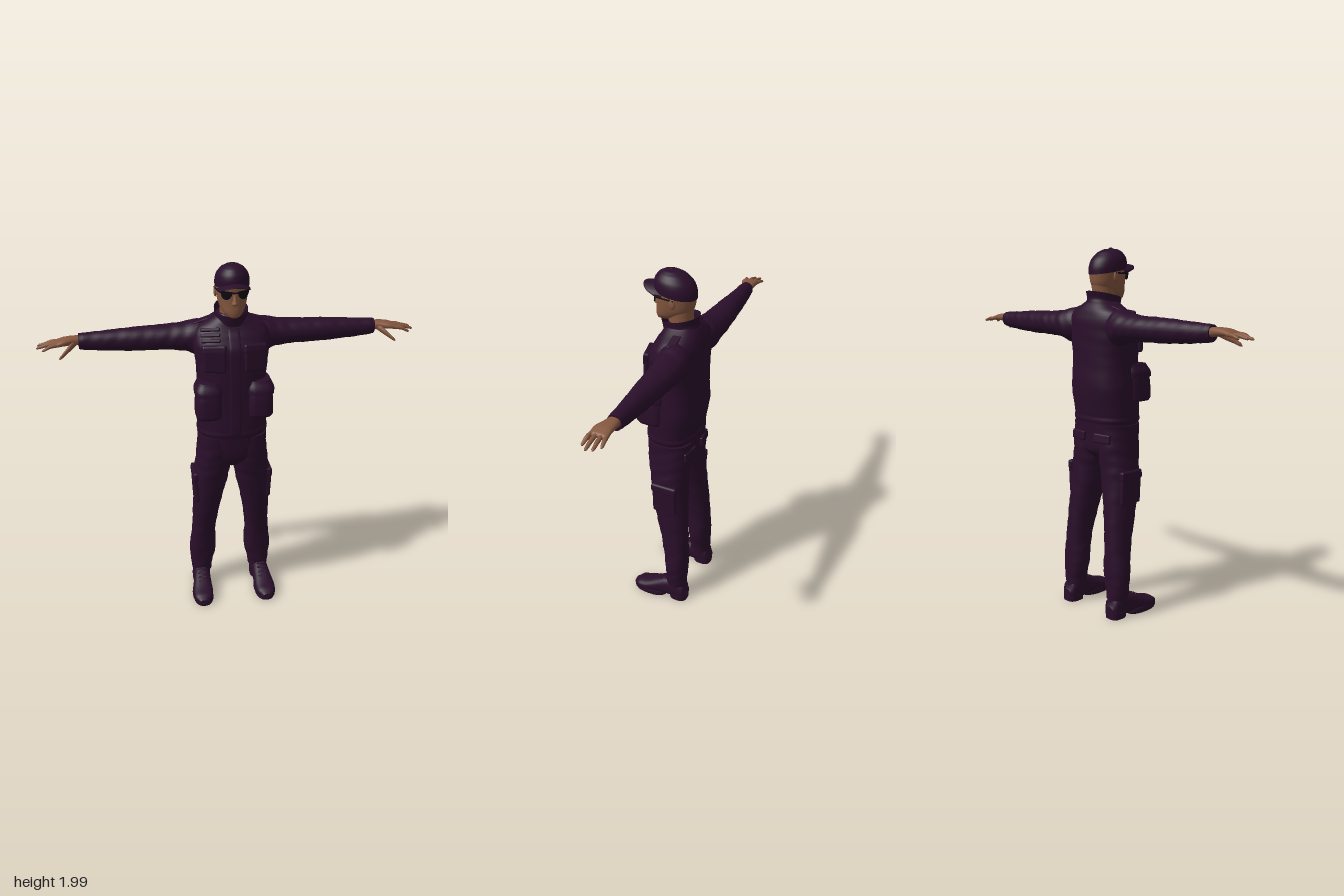
import * as THREE from 'three';
import { RoundedBoxGeometry } from 'three/addons/geometries/RoundedBoxGeometry.js';

const mat = (name, color, extra = {}) => Object.assign(new THREE.MeshStandardMaterial({ color, ...extra }), { name });

// Catmull-Rom value between p1 and p2
const spline = (p0, p1, p2, p3, t) =>
  0.5 * (2 * p1 + (p2 - p0) * t + (2 * p0 - 5 * p1 + 4 * p2 - p3) * t * t + (3 * p1 - p0 - 3 * p2 + p3) * t ** 3);

// Smooth skin over superellipse sections [t, u, v, ru, rv] along one axis.
// axis y: u = x, v = z; axis x: u = z, v = y; axis z: u = y, v = x
function loft(axis, rows, { n = 28, steps = 5, power = 2, fold = 0, capped = true } = {}) {
  const sections = [];
  for (let i = 0; i < rows.length - 1; i++) {
    const q = [rows[Math.max(0, i - 1)], rows[i], rows[i + 1], rows[Math.min(rows.length - 1, i + 2)]];
    const last = i === rows.length - 2 ? 1 : 0;
    for (let s = 0; s < steps + last; s++) {
      const k = s / steps;
      sections.push(rows[i].map((_, c) => (c ? spline(q[0][c], q[1][c], q[2][c], q[3][c], k) : q[1][0] + (q[2][0] - q[1][0]) * k)));
    }
  }
  const pos = [], idx = [];
  const put = (t, u, v) => pos.push(...(axis === 'y' ? [u, t, v] : axis === 'x' ? [t, v, u] : [v, u, t]));
  const pw = (c) => Math.sign(c) * Math.abs(c) ** (2 / power);
  for (const [t, u, v, ru, rv] of sections) {
    for (let j = 0; j < n; j++) {
      const a = (j / n) * Math.PI * 2;
      const r = 1 + fold * Math.sin(t * 70 + 2 * Math.sin(a * 2)) * Math.sin(t * 23 + a);
      put(t, u + ru * r * pw(Math.cos(a)), v + rv * r * pw(Math.sin(a)));
    }
  }
  const m = sections.length;
  for (let i = 0; i < m - 1; i++) {
    for (let j = 0; j < n; j++) {
      const a = i * n + j, b = i * n + (j + 1) % n;
      idx.push(a, a + n, b, b, a + n, b + n);
    }
  }
  if (capped) {
    // End caps use their own rim so the edge stays crisp
    for (const [i, flip] of [[0, false], [m - 1, true]]) {
      const base = pos.length / 3;
      pos.push(...pos.slice(i * n * 3, (i + 1) * n * 3));
      put(sections[i][0], sections[i][1], sections[i][2]);
      for (let j = 0; j < n; j++) {
        const a = base + j, b = base + (j + 1) % n;
        idx.push(base + n, ...(flip ? [b, a] : [a, b]));
      }
    }
  }
  const g = new THREE.BufferGeometry();
  g.setAttribute('position', new THREE.Float32BufferAttribute(pos, 3));
  g.setIndex(idx);
  g.computeVertexNormals();
  return g;
}

function box(w, h, d, [x, y, z], [rx, ry, rz] = [0, 0, 0], r = 0.008) {
  const g = new RoundedBoxGeometry(w, h, d, 2, Math.min(r, w / 2.1, h / 2.1, d / 2.1));
  return g.applyMatrix4(new THREE.Matrix4().makeRotationFromEuler(new THREE.Euler(rx, ry, rz)).setPosition(x, y, z));
}
const ball = (x, y, z, sx, sy, sz) => new THREE.SphereGeometry(1, 20, 14).scale(sx, sy, sz).translate(x, y, z);

// Copy on the other side of x = 0, with corners reordered
function mirror(geo) {
  const g = geo.clone().scale(-1, 1, 1);
  const src = g.index ? Array.from(g.index.array) : Array.from({ length: g.attributes.position.count }, (_, i) => i);
  for (let i = 0; i < src.length; i += 3) [src[i + 1], src[i + 2]] = [src[i + 2], src[i + 1]];
  g.setIndex(src);
  g.computeVertexNormals();
  return g;
}

export function createModel() {
  const cloth = mat('dark plum cloth', 0x2a0f2a);
  const clothOpen = mat('dark plum collar', 0x2a0f2a, { side: THREE.DoubleSide });
  const skin = mat('skin', 0x85573f);
  const lipTone = mat('lips', 0x643c30);
  const black = mat('black glass', 0x0d0810);
  const model = new THREE.Group();
  model.name = 'uniformedMan';
  const add = (name, geo, material = cloth) => {
    const mesh = new THREE.Mesh(geo, material);
    mesh.name = name;
    model.add(mesh);
  };
  const pair = (name, geo, material) => {
    add(name + 'Left', geo, material);
    add(name + 'Right', mirror(geo), material);
  };

  // Jacket body, hem, front placket
  const torso = [
    [1.06, 0, -0.008, 0.178, 0.128], [1.1, 0, -0.008, 0.188, 0.138], [1.25, 0, -0.022, 0.192, 0.148],
    [1.38, 0, -0.02, 0.185, 0.146], [1.48, 0, -0.022, 0.192, 0.144], [1.56, 0, -0.025, 0.202, 0.14],
    [1.62, 0, -0.04, 0.2, 0.123], [1.66, 0, -0.047, 0.172, 0.104], [1.695, 0, -0.045, 0.11, 0.088], [1.725, 0, -0.04, 0.07, 0.07],
  ];
  add('jacket', loft('y', torso, { n: 48, power: 2.4, fold: 0.008 }));
  add('jacketHem', loft('y', [[1.07, 0, -0.008, 0.186, 0.138], [1.085, 0, -0.008, 0.192, 0.142], [1.105, 0, -0.008, 0.19, 0.14]], { n: 48, power: 2.4 }));
  add('frontPlacket', loft('y', torso.slice(0, 8).map(([y, , cz, , rz]) => [y, 0, cz + rz - 0.003, 0.03, 0.01]), { power: 4 }));

  // Collar: flared band that stands higher at the nape
  const collar = loft('y', [[1.685, 0, -0.035, 0.092, 0.092], [1.71, 0, -0.03, 0.086, 0.092], [1.745, 0, -0.03, 0.088, 0.1]], { n: 40, capped: false });
  const cp = collar.attributes.position;
  for (let i = 0; i < cp.count; i++) cp.setY(i, cp.getY(i) - 0.22 * (cp.getZ(i) + 0.03));
  collar.computeVertexNormals();
  add('collar', collar, clothOpen);

  // Jacket pockets with flaps
  pair('hipPocket', loft('y', [[1.185, 0.135, 0.065, 0.066, 0.074], [1.2, 0.136, 0.068, 0.071, 0.081], [1.29, 0.135, 0.066, 0.07, 0.08], [1.36, 0.132, 0.06, 0.062, 0.072]], { power: 3.2 }));
  pair('hipPocketFlap', loft('y', [[1.315, 0.136, 0.066, 0.073, 0.084], [1.345, 0.136, 0.063, 0.075, 0.081], [1.385, 0.132, 0.052, 0.06, 0.07]], { power: 3.2 }));
  pair('chestPocket', box(0.118, 0.125, 0.03, [0.105, 1.505, 0.104], [0, 0.22, 0], 0.012));
  pair('chestPocketFlap', box(0.126, 0.045, 0.034, [0.105, 1.565, 0.1], [-0.2, 0.22, 0], 0.012));
  for (let i = 0; i < 3; i++) {
    add('chestTab' + (i + 1), box(0.1, 0.018, 0.02, [-0.12, 1.605 + i * 0.025, 0.076 - i * 0.015], [-0.55, -0.25, -0.08], 0.005));
  }
  pair('shoulderStrap', box(0.09, 0.012, 0.045, [0.15, 1.675, -0.06], [0, 0, -0.3], 0.005));

  // Sleeves
  pair('sleeve', loft('x', [
    [0.08, -0.055, 1.585, 0.07, 0.07], [0.17, -0.072, 1.58, 0.088, 0.095], [0.24, -0.083, 1.584, 0.082, 0.076],
    [0.34, -0.086, 1.584, 0.076, 0.066], [0.5, -0.084, 1.583, 0.063, 0.062], [0.65, -0.083, 1.583, 0.05, 0.053],
    [0.76, -0.08, 1.585, 0.041, 0.045], [0.785, -0.08, 1.587, 0.038, 0.041],
  ], { fold: 0.025, steps: 8 }));

  // Hands: palm, four fingers, thumb
  pair('palm', loft('x', [
    [0.76, -0.08, 1.59, 0.029, 0.025], [0.81, -0.077, 1.595, 0.035, 0.022], [0.86, -0.067, 1.594, 0.045, 0.019],
    [0.9, -0.066, 1.588, 0.045, 0.013], [0.912, -0.066, 1.586, 0.035, 0.006],
  ], { power: 2.4 }), skin);
  const fingers = [[-0.102, -0.113, 0.962, 1.573], [-0.08, -0.088, 0.995, 1.572], [-0.054, -0.056, 1.0, 1.569], [-0.03, -0.022, 0.97, 1.565]];
  fingers.forEach(([z0, z1, tip, y1], i) => {
    const mid = (0.885 + tip) / 2;
    pair('finger' + (i + 1), loft('x', [
      [0.88, z0, 1.588, 0.01, 0.01], [mid, (z0 + z1) / 2, 1.584, 0.0105, 0.01],
      [tip - 0.008, z1, y1 + 0.002, 0.0075, 0.007], [tip, z1, y1, 0.002, 0.002],
    ], { n: 12 }), skin);
  });
  pair('thumb', loft('x', [
    [0.795, -0.06, 1.587, 0.012, 0.014], [0.825, -0.035, 1.573, 0.017, 0.017], [0.855, -0.008, 1.552, 0.012, 0.013],
    [0.878, 0.008, 1.535, 0.009, 0.009], [0.886, 0.011, 1.53, 0.002, 0.003],
  ], { n: 14 }), skin);

  // Trousers
  add('trouserSeat', loft('y', [[0.865, 0, -0.015, 0.06, 0.07], [0.91, 0, -0.015, 0.15, 0.112], [0.98, 0, -0.01, 0.183, 0.122], [1.08, 0, -0.008, 0.18, 0.124]], { n: 40, power: 2.3 }));
  pair('trouserLeg', loft('y', [
    [0.105, 0.17, -0.09, 0.058, 0.058], [0.15, 0.17, -0.09, 0.063, 0.06], [0.25, 0.163, -0.088, 0.077, 0.064],
    [0.4, 0.156, -0.075, 0.068, 0.074], [0.6, 0.139, -0.045, 0.079, 0.092], [0.8, 0.115, -0.022, 0.098, 0.103],
    [0.92, 0.098, -0.014, 0.099, 0.116], [1.06, 0.092, -0.01, 0.095, 0.12],
  ], { n: 36, steps: 8, power: 2.2, fold: 0.025 }));
  add('belt', loft('y', [[1.02, 0, -0.01, 0.186, 0.127], [1.06, 0, -0.01, 0.185, 0.129]], { n: 40, power: 2.3, steps: 1 }));
  pair('cargoPocket', box(0.03, 0.17, 0.14, [0.204, 0.72, -0.03], [0, 0, -0.05], 0.012));
  pair('cargoPocketFlap', box(0.034, 0.05, 0.15, [0.206, 0.795, -0.028], [0, 0, 0.05], 0.012));
  pair('backPocketFlap', box(0.11, 0.05, 0.02, [0.09, 0.99, -0.13], [0.1, -0.15, 0]));

  // Boots: foot, shaft, laces, sole, heel
  pair('boot', loft('z', [
    [-0.158, 0.045, 0.175, 0.025, 0.03], [-0.14, 0.06, 0.175, 0.052, 0.046], [-0.08, 0.07, 0.175, 0.066, 0.051],
    [-0.03, 0.067, 0.178, 0.062, 0.05], [0.03, 0.054, 0.182, 0.048, 0.054], [0.09, 0.042, 0.185, 0.034, 0.058],
    [0.14, 0.036, 0.187, 0.026, 0.05], [0.17, 0.03, 0.188, 0.012, 0.025],
  ], { power: 2.4 }));
  pair('bootShaft', loft('y', [[0.05, 0.174, -0.09, 0.05, 0.062], [0.12, 0.171, -0.09, 0.053, 0.056], [0.19, 0.168, -0.09, 0.053, 0.05]]));
  for (let i = 0; i < 4; i++) {
    pair('lace' + (i + 1), box(0.05, 0.008, 0.012, [0.18, 0.128 - i * 0.013, -0.028 + i * 0.026], [0.45, 0, 0], 0.003));
  }
  pair('sole', loft('y', [[0, 0.185, 0.068, 0.056, 0.1], [0.012, 0.185, 0.068, 0.06, 0.106], [0.03, 0.185, 0.068, 0.058, 0.102]], { power: 2.4, steps: 2 }));
  pair('heel', loft('y', [[0, 0.176, -0.108, 0.047, 0.052], [0.04, 0.176, -0.108, 0.05, 0.053]], { power: 2.8, steps: 1 }));

  // Head, neck and face
  add('neck', loft('y', [[1.64, 0, -0.04, 0.066, 0.066], [1.73, 0, -0.03, 0.06, 0.064], [1.82, 0, -0.03, 0.062, 0.07]]), skin);
  add('head', loft('y', [
    [1.722, 0, 0.066, 0.018, 0.02], [1.73, 0, 0.057, 0.035, 0.04], [1.755, 0, 0.026, 0.058, 0.075], [1.79, 0, 0.002, 0.072, 0.097],
    [1.84, 0, -0.004, 0.081, 0.103], [1.89, 0, -0.004, 0.082, 0.104], [1.94, 0, 0, 0.062, 0.08],
  ], { n: 36, power: 2.15 }), skin);
  add('nose', loft('y', [[1.792, 0, 0.098, 0.012, 0.01], [1.8, 0, 0.1, 0.018, 0.02], [1.815, 0, 0.1, 0.012, 0.016], [1.85, 0, 0.094, 0.008, 0.01]], { n: 16 }), skin);
  add('upperLip', ball(0, 1.775, 0.088, 0.025, 0.005, 0.012), lipTone);
  add('lowerLip', ball(0, 1.767, 0.085, 0.022, 0.005, 0.012), lipTone);
  pair('ear', ball(0.083, 1.838, -0.018, 0.009, 0.028, 0.018).rotateZ(0), skin);

  // Sunglasses
  const lens = new THREE.Shape();
  lens.moveTo(-0.027, 0.018);
  lens.lineTo(0.03, 0.02);
  lens.quadraticCurveTo(0.034, -0.012, 0.012, -0.022);
  lens.quadraticCurveTo(-0.024, -0.026, -0.027, 0.018);
  const lensGeo = new THREE.ExtrudeGeometry(lens, { depth: 0.006, bevelEnabled: false, curveSegments: 8 });
  pair('lens', lensGeo.rotateY(0.45).translate(0.038, 1.846, 0.093), black);
  add('glassesBridge', box(0.03, 0.008, 0.01, [0, 1.858, 0.106], [0, 0, 0], 0.003), black);
  pair('glassesTemple', box(0.005, 0.009, 0.108, [0.079, 1.857, 0.026], [0, -0.17, 0], 0.002), black);

  // Cap: crown whose rim dips at the back, button and curved peak
  const crown = loft('y', [
    [1.868, 0, -0.002, 0.087, 0.111], [1.9, 0, 0, 0.088, 0.112], [1.935, 0, 0.005, 0.08, 0.1],
    [1.965, 0, 0.014, 0.058, 0.072], [1.98, 0, 0.02, 0.034, 0.042], [1.985, 0, 0.022, 0.006, 0.008],
  ], { n: 40 });
  const kp = crown.attributes.position;
  for (let i = 0; i < kp.count; i++) kp.setY(i, kp.getY(i) + kp.getZ(i) * 0.16 * Math.max(0, (1.985 - kp.getY(i)) / 0.117));
  crown.computeVertexNormals();
  add('capCrown', crown);
  add('capButton', ball(0, 1.986, 0.022, 0.009, 0.004, 0.009));
  const peak = [];
  for (let i = -6; i <= 6; i++) {
    const x = i * 0.0135, front = 0.062 + 0.108 * Math.sqrt(1 - (x / 0.083) ** 2);
    peak.push([x, (front + 0.04) / 2, 1.9 - 5 * x * x, (front - 0.04) / 2, 0.006]);
  }
  add('capPeak', loft('x', peak, { steps: 2 }));

  return model;
}
